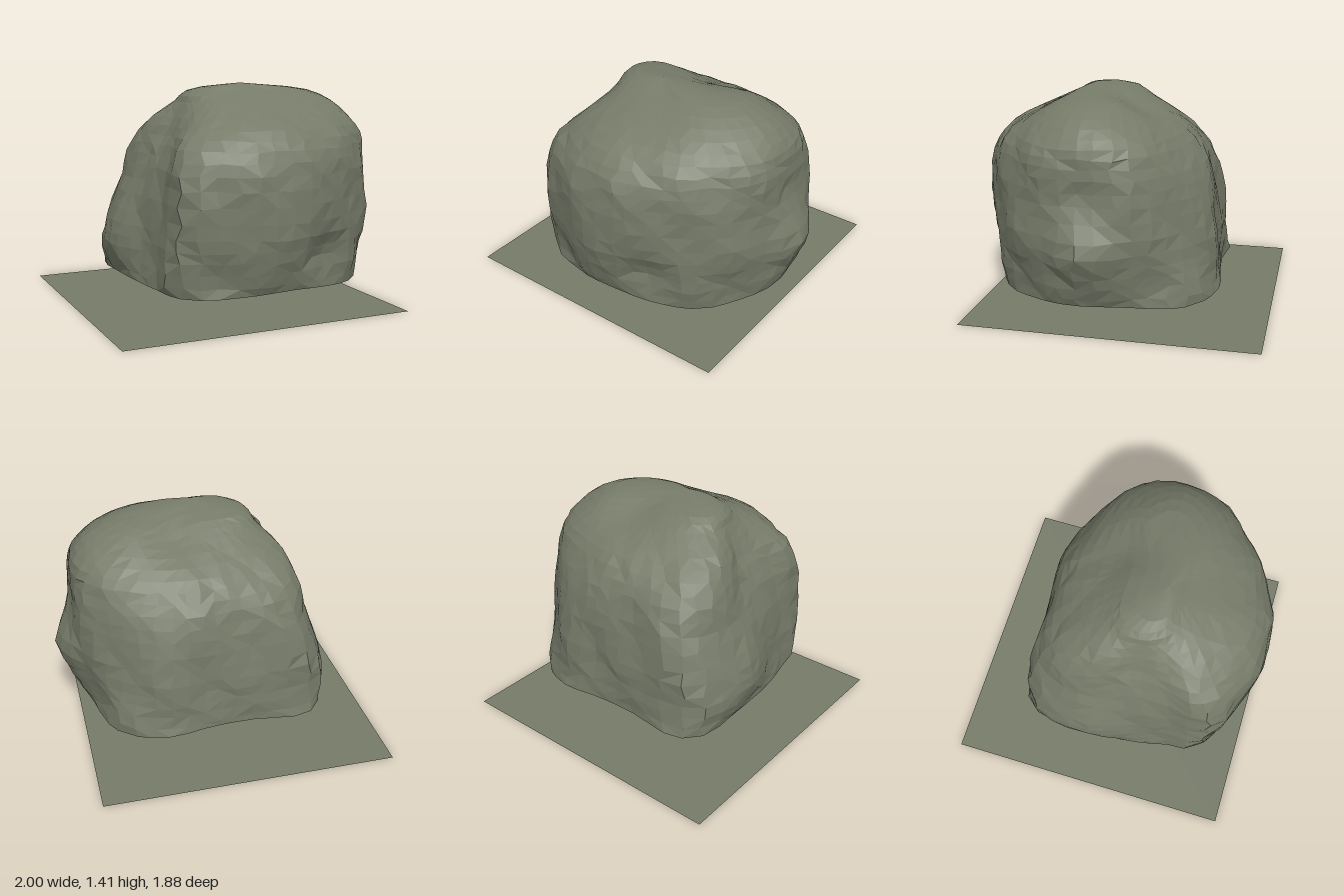
import * as THREE from 'three';

// Boulder contours: height, then radius at 16 bearings from +x round through +z
const LEVELS = [
  [0.185, [.77, .74, .72, .69, .69, .73, .83, .78, .78, .84, .99, .79, .75, .84, .85, .76]],
  [0.36, [.83, .77, .74, .72, .74, .79, .85, .77, .79, .91, .97, .78, .74, .81, .82, .80]],
  [0.55, [.89, .80, .76, .74, .77, .82, .86, .75, .76, .87, .94, .77, .73, .78, .81, .83]],
  [0.80, [.79, .78, .76, .74, .78, .82, .85, .72, .67, .77, .85, .73, .69, .74, .77, .81]],
  [1.00, [.78, .77, .73, .71, .75, .77, .81, .65, .58, .71, .76, .66, .63, .66, .71, .79]],
  [1.15, [.75, .72, .65, .61, .63, .65, .65, .54, .51, .63, .59, .52, .51, .54, .60, .74]],
  [1.28, [.63, .57, .48, .40, .38, .40, .43, .43, .44, .46, .39, .32, .30, .34, .43, .56]],
  [1.37, [.40, .35, .26, .19, .17, .19, .24, .32, .36, .32, .20, .15, .14, .15, .22, .34]],
  [1.41, new Array(16).fill(0)],
];
const CX = 0.1, CZ = 0.15, SEGS = 46, ROWS = 21;

const cubic = (a, b, c, d, t) =>
  b + 0.5 * t * (c - a + t * (2 * a - 5 * b + 4 * c - d + t * (3 * (b - c) + d - a)));

// Smooth value at position t of a list, closed or clamped
function sample(list, t, closed) {
  const n = list.length, i = Math.floor(t);
  const at = (k) => list[closed ? (k + n) % n : Math.min(n - 1, Math.max(0, k))];
  return cubic(at(i - 1), at(i), at(i + 1), at(i + 2), t - i);
}

const bump = (d, width) => Math.exp(-((d / width) ** 2));

function seeded(seed) {
  return () => {
    seed = (seed * 16807) % 2147483647;
    return seed / 2147483647 - 0.5;
  };
}

function boulderGeometry() {
  const rnd = seeded(71);
  const pos = [], index = [];
  for (let r = 0; r <= ROWS; r++) {
    const t = (r / ROWS) * (LEVELS.length - 1);
    const h = sample(LEVELS.map((l) => l[0]), t, false);
    const rim = r === 0;
    // The crown leans towards its off-centre peak
    const lean = Math.max(0, (h - 1.37) / 0.04);
    for (let s = 0; s < SEGS; s++) {
      // Uneven spacing breaks the grid into irregular facets
      const calm = Math.min(1, Math.max(0, (1.3 - h) / 0.2));
      const bearing = (s + rnd() * 0.4 * calm) / SEGS * 16;
      const a = bearing / 16 * Math.PI * 2;
      const base = sample(LEVELS.map((l) => sample(l[1], (bearing + 16) % 16, true)), t, false);
      // Weathered hollows, strongest on the steep sides
      const side = calm * (rim ? 0.3 : 1);
      const rough = 0.008 * Math.sin(a * 7 + h * 6) + 0.007 * Math.sin(a * 11 - h * 9 + 1) + rnd() * 0.012;
      const dent = -0.045 * bump(a - 1.3, 0.25) * bump(h - 0.4, 0.11);
      // Sharper front left corner with a flatter face beside it
      const corner = 0.035 * bump(bearing - 6.45, 0.35) - 0.035 * bump(bearing - 5.5, 0.4);
      const radius = Math.max(0, base + (rough + dent + corner) * side);
      const x = CX + radius * Math.cos(a) - 0.07 * lean;
      const z = CZ + radius * Math.sin(a) + 0.09 * lean;
      // Shallow basin behind the crest, and a rim arched between the corners
      const basin = h > 1.1 ? 0.05 * bump(Math.hypot(x - 0.25, z + 0.06), 0.17) : 0;
      pos.push(x, h + (rim ? 0.012 * Math.cos(a * 4) : rnd() * 0.015 * side) - basin, z);
    }
  }
  for (let r = 0; r < ROWS; r++) {
    for (let s = 0; s < SEGS; s++) {
      const a = r * SEGS + s, b = r * SEGS + (s + 1) % SEGS;
      const c = a + SEGS, d = b + SEGS;
      if (r === ROWS - 1) index.push(a, c, b);
      else if ((r * 5 + s * 3) % 4 < 2) index.push(a, c, b, b, c, d);
      else index.push(a, d, b, a, c, d);
    }
  }
  const geo = new THREE.BufferGeometry();
  geo.setAttribute('position', new THREE.Float32BufferAttribute(pos, 3));
  geo.setIndex(index);
  // Separate facets give the faceted stone look
  const flat = geo.toNonIndexed();
  flat.computeVertexNormals();
  return flat;
}

export function createModel() {
  const group = new THREE.Group();
  group.name = 'rock';
  const stone = new THREE.MeshStandardMaterial({ color: 0x767b69, side: THREE.DoubleSide, flatShading: true });
  stone.name = 'mossy grey stone';

  // Hollow boulder, open underneath
  const boulder = new THREE.Mesh(boulderGeometry(), stone);
  boulder.name = 'boulder';
  group.add(boulder);

  // Flat square ground sheet below it
  const sheet = new THREE.Mesh(new THREE.PlaneGeometry(1.87, 1.87).rotateX(-Math.PI / 2), stone);
  sheet.name = 'groundSheet';
  sheet.position.set(-0.065, 0, -0.01);
  group.add(sheet);
  return group;
}
